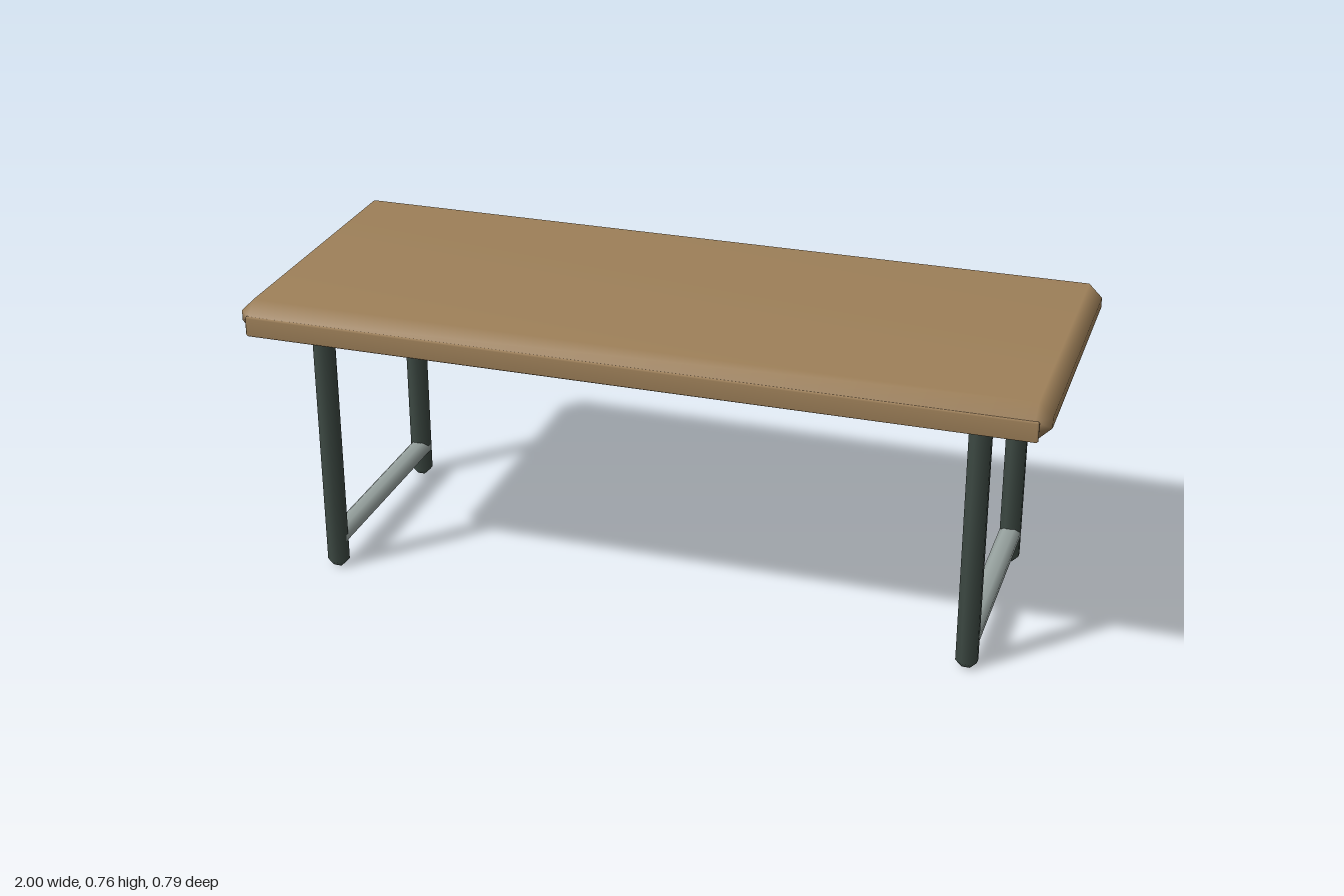
import * as THREE from 'three';
import { mergeVertices } from 'three/addons/utils/BufferGeometryUtils.js';
import { ConvexGeometry } from 'three/addons/geometries/ConvexGeometry.js';

// Box with single 45 degree chamfers on every edge, shaded smoothly
function chamferBox(w, h, d, c) {
  const points = [];
  for (const sx of [-1, 1]) for (const sy of [-1, 1]) for (const sz of [-1, 1]) {
    for (let axis = 0; axis < 3; axis++) {
      const inset = [c, c, c];
      inset[axis] = 0;
      points.push(new THREE.Vector3(
        sx * (w / 2 - inset[0]), sy * (h / 2 - inset[1]), sz * (d / 2 - inset[2])));
    }
  }
  let geometry = new ConvexGeometry(points);
  geometry.deleteAttribute('normal');
  geometry = mergeVertices(geometry, 1e-5);
  geometry.computeVertexNormals();
  return geometry;
}

export function createModel() {
  const wood = new THREE.MeshStandardMaterial({ name: 'wood', color: 0x9e8059 });
  const darkSteel = new THREE.MeshStandardMaterial({ name: 'dark steel', color: 0x3c4842 });
  const lightSteel = new THREE.MeshStandardMaterial({ name: 'light steel', color: 0x98a3a0 });

  const table = new THREE.Group();
  table.name = 'table';
  const add = (name, geometry, material, x, y, z) => {
    const mesh = new THREE.Mesh(geometry, material);
    mesh.name = name;
    mesh.position.set(x, y, z);
    table.add(mesh);
  };

  // Top slab and the thin strip along its front edge
  add('tabletop', chamferBox(2, 0.094, 0.788, 0.034), wood, 0, 0.713, -0.001);
  add('frontEdgeStrip', chamferBox(1.95, 0.052, 0.012, 0.004), wood, 0, 0.701, 0.391);

  // One leg frame at each end
  const leg = chamferBox(0.053, 0.667, 0.051, 0.0165);
  const upperBar = chamferBox(0.045, 0.044, 0.56, 0.0147);
  const lowerBar = chamferBox(0.055, 0.044, 0.584, 0.0147);
  for (const [side, sx] of [['left', 1], ['right', -1]]) {
    const x = sx * 0.826;
    add(side + 'FrontLeg', leg, darkSteel, x, 0.3335, 0.275);
    add(side + 'BackLeg', leg, darkSteel, x, 0.3335, -0.275);
    add(side + 'UpperBar', upperBar, darkSteel, x, 0.623, 0);
    add(side + 'LowerBar', lowerBar, lightSteel, x, 0.08, 0);
  }
  return table;
}
